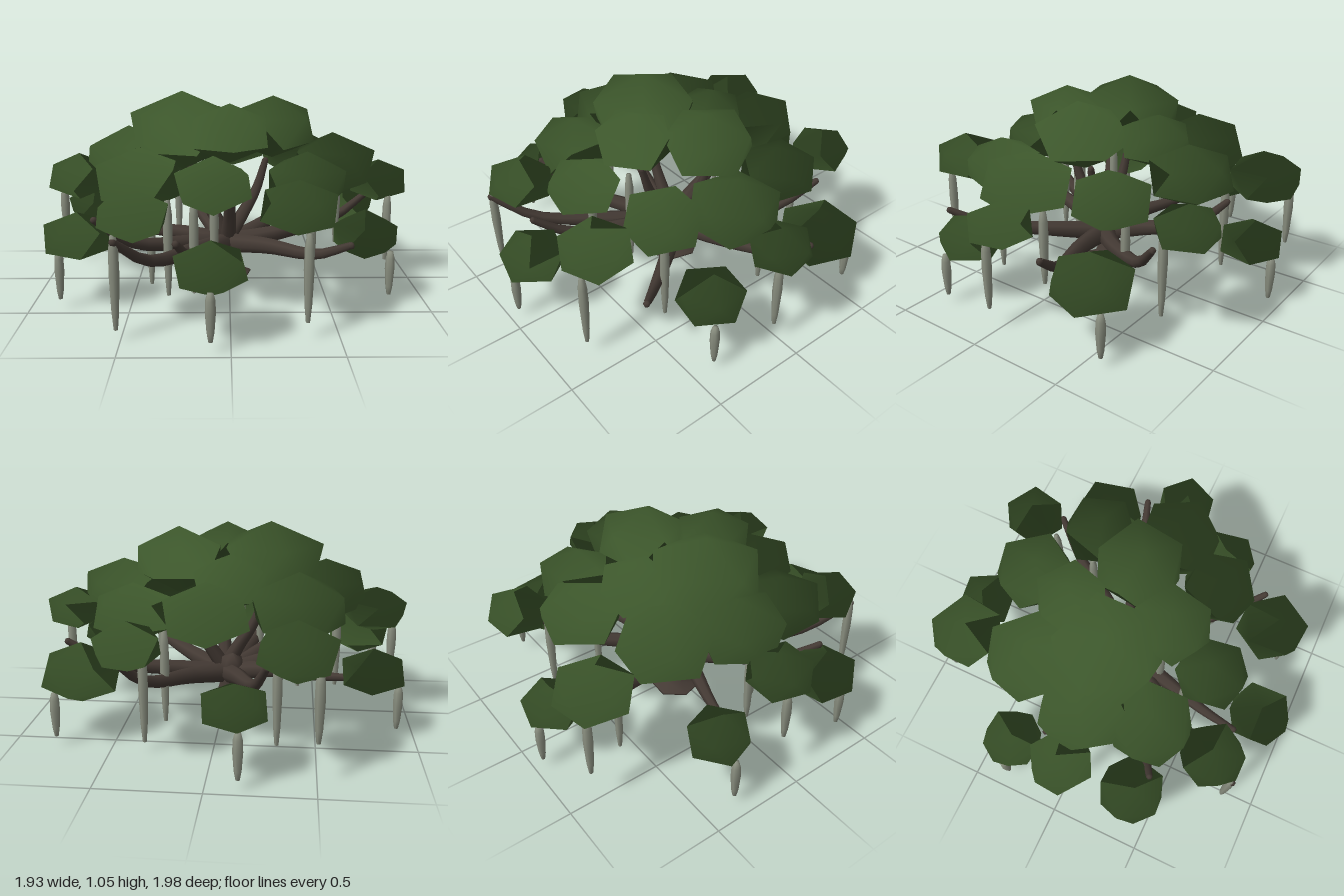
import * as THREE from 'three';

const mat = (name, color) => {
  const m = new THREE.MeshStandardMaterial({ color });
  m.name = name;
  return m;
};

export function createModel() {
  const tree = new THREE.Group();
  tree.name = 'tree';
  const leaf = mat('leafGreen', 0x3c562b);
  const bark = mat('barkBrown', 0x443a34);
  const rootGrey = mat('aerialRootGrey', 0x8a8f80);

  const add = (name, geometry, material) => {
    const mesh = new THREE.Mesh(geometry, material);
    mesh.name = name;
    tree.add(mesh);
    return mesh;
  };

  // Trunk with a widely flared, slightly tilted foot
  const profile = [[0, 0.015], [0.148, 0.015], [0.145, 0.022], [0.085, 0.055], [0.062, 0.11],
    [0.052, 0.17], [0.06, 0.23], [0.058, 0.3], [0, 0.33]];
  const trunk = new THREE.LatheGeometry(profile.map(([r, y]) => new THREE.Vector2(r, y)), 7);
  trunk.rotateZ(0.1).rotateX(-0.05).translate(-0.02, 0.005, -0.02);
  add('trunk', trunk, bark);

  // Tapered limb along a curve
  const limb = (name, points, r0, r1) => {
    const curve = new THREE.CatmullRomCurve3(points.map((p) => new THREE.Vector3(...p)));
    const steps = 10, sides = 7;
    const g = new THREE.TubeGeometry(curve, steps, 1, sides);
    const p = g.attributes.position, v = new THREE.Vector3();
    for (let i = 0; i < p.count; i++) {
      const t = Math.floor(i / (sides + 1)) / steps;
      const c = curve.getPointAt(t);
      v.fromBufferAttribute(p, i).sub(c).multiplyScalar(r0 + (r1 - r0) * t).add(c);
      p.setXYZ(i, v.x, v.y, v.z);
    }
    add(name, g, bark);
    const tip = new THREE.SphereGeometry(r1, 7, 4);
    tip.translate(...points[points.length - 1]);
    add(name + 'Tip', tip, bark);
  };

  // Low spreading branches, nearly level and then rising at their ends
  const low = [[0.57, 0.38, 0.6], [0.8, 0.44, -0.25], [-0.67, 0.46, 0.43], [-0.25, 0.43, 0.73],
    [-0.52, 0.47, 0.83], [0.47, 0.48, -0.64], [-0.26, 0.46, -0.63], [-0.66, 0.27, -0.2]];
  for (const [x, y, z] of low) {
    limb('lowBranch', [[-0.02, 0.21, -0.01], [x * 0.35, 0.25, z * 0.3],
      [x * 0.75, 0.25 + (y - 0.25) * 0.3, z * 0.75], [x, y, z]], 0.056, 0.018);
  }

  // Upper branches into the crown
  const high = [[-0.22, 0.66, -0.02], [0.2, 0.66, -0.08], [0.0, 0.66, 0.2]];
  for (const [x, y, z] of high) {
    limb('upperBranch', [[-0.01, 0.23, 0], [x * 0.35, 0.36, z * 0.35],
      [x * 0.75, 0.5, z * 0.75], [x, y, z]], 0.045, 0.018);
  }

  // Leaf clumps: flattened icosahedra, shaded as one round crown
  const clump = (x, y, z, r, i) => {
    const g = new THREE.IcosahedronGeometry(1, 0);
    g.rotateZ(0.5536).rotateY(i * 2.4).rotateX(0.1 * Math.sin(i * 1.7));
    g.scale(r * 1.1, r * 0.75, r * 1.1).translate(x, y, z);
    const p = g.attributes.position, n = new THREE.Vector3();
    for (let k = 0; k < p.count; k++) {
      n.fromBufferAttribute(p, k);
      n.y -= 0.424;
      n.normalize();
      g.attributes.normal.setXYZ(k, n.x, n.y, n.z);
    }
    add('leafClump', g, leaf);
  };
  const crown = [
    [-0.25, 0.84, 0, 0.28], [0.235, 0.85, -0.05, 0.23], [0, 0.86, 0.24, 0.2], [-0.06, 0.79, -0.3, 0.19],
    [-0.4, 0.68, -0.37, 0.24], [0.03, 0.69, -0.57, 0.21]];
  const middle = [
    [-0.54, 0.69, -0.01, 0.23], [0.55, 0.665, 0.05, 0.225], [0.42, 0.64, -0.37, 0.2], [0.38, 0.64, 0.36, 0.2],
    [-0.08, 0.65, 0.51, 0.19], [-0.45, 0.64, 0.33, 0.22]];
  const outer = [
    [-0.4, 0.59, -0.77, 0.19], [0.37, 0.59, -0.76, 0.16], [-0.81, 0.59, 0, 0.165], [0.81, 0.56, -0.02, 0.155],
    [0.31, 0.59, 0.7, 0.18], [-0.45, 0.55, 0.68, 0.17]];
  const lowest = [
    [-0.125, 0.35, -0.845, 0.155], [-0.78, 0.35, -0.33, 0.16], [0.675, 0.345, -0.45, 0.205], [0.69, 0.35, 0.31, 0.17],
    [-0.09, 0.35, 0.83, 0.17], [-0.76, 0.36, 0.37, 0.175]];
  [...crown, ...middle, ...outer, ...lowest].forEach(([x, y, z, r], i) => clump(x, y, z, r, i));

  // Hanging aerial roots: slim spindles, x, z, top and bottom
  const roots = [
    [-0.09, 0.95, 0.28, 0.05], [-0.85, 0.43, 0.3, 0.05], [-0.91, -0.33, 0.28, 0.05], [-0.15, -0.95, 0.28, 0.05],
    [0.78, -0.58, 0.28, 0.05], [0.81, 0.38, 0.28, 0.05], [-0.52, 0.82, 0.5, 0.05], [0.35, 0.81, 0.5, 0.08],
    [0.86, 0.03, 0.49, 0.12], [-0.9, -0.02, 0.52, 0.25], [-0.5, -0.87, 0.54, 0.2], [0.33, -0.61, 0.54, 0.05],
    [-0.61, 0.0, 0.58, 0.15], [-0.08, 0.23, 0.6, 0.05], [0.41, 0.37, 0.55, 0.05], [0.6, -0.1, 0.58, 0.18],
    [-0.31, -0.59, 0.54, 0.05], [-0.31, 0.39, 0.55, 0.05], [0.27, -0.35, 0.55, 0.05], [-0.18, 0.41, 0.55, 0.07],
    [-0.41, 0.22, 0.55, 0.05]];
  const spindle = [[0, 0], [0.01, 0.01], [0.018, 0.2], [0.025, 0.6], [0.023, 0.85], [0.014, 1], [0, 1]];
  for (const [x, z, top, bottom] of roots) {
    const g = new THREE.LatheGeometry(
      spindle.map(([r, t]) => new THREE.Vector2(r, bottom + (top - bottom) * t)), 7);
    g.translate(x, 0, z);
    add('aerialRoot', g, rootGrey);
  }
  return tree;
}
